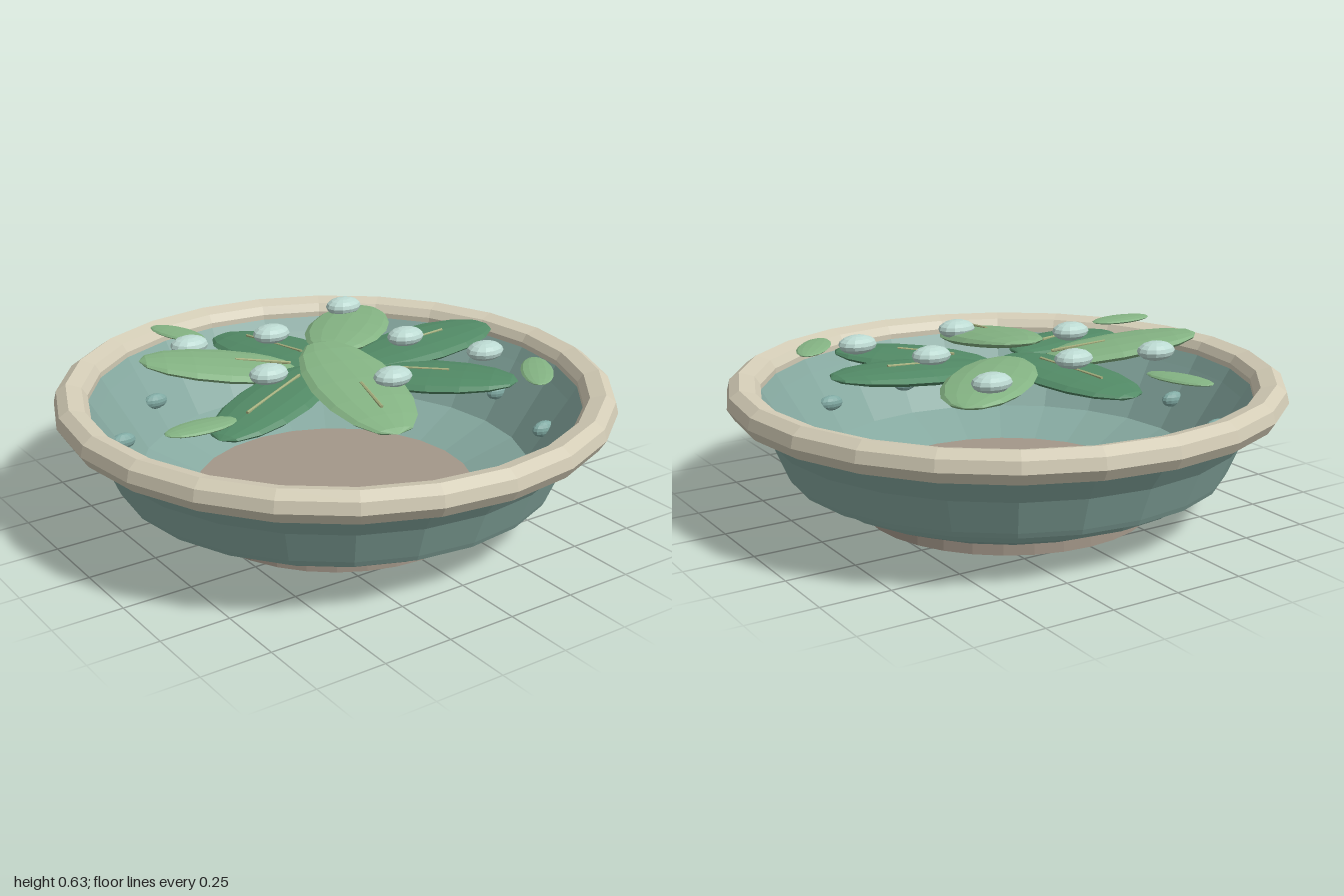
import * as THREE from 'three';

const mat = (name, color, flatShading = true) => {
  const m = new THREE.MeshStandardMaterial({ color, flatShading });
  m.name = name;
  return m;
};

export function createModel() {
  const teal = mat('teal glaze', 0x86a9a0);
  const cream = mat('cream rim', 0xd3ccb6);
  const taupe = mat('taupe clay', 0xa39789);
  const lightGreen = mat('light leaf green', 0x84b383);
  const darkGreen = mat('dark leaf green', 0x528a66);
  const veinGreen = mat('vein khaki', 0xa3ad7c);
  const dew = mat('pale dew', 0xbcdad2);
  const stud = mat('wall bead teal', 0x80aaa3);

  const model = new THREE.Group();
  model.name = 'leafBowl';
  const add = (name, geometry, material, parent = model) => {
    const mesh = new THREE.Mesh(geometry, material);
    mesh.name = name;
    parent.add(mesh);
    return mesh;
  };
  const lathe = (pts, segments = 24) =>
    new THREE.LatheGeometry(pts.map(([r, y]) => new THREE.Vector2(r, y)), segments);

  // Foot, stepped bowl wall with its inner face, and the floor disc
  add('foot', new THREE.CylinderGeometry(0.53, 0.53, 0.05, 32), taupe).position.y = 0.025;
  add('bowl', lathe([
    [0.5, 0.05], [0.56, 0.05], [0.70, 0.11], [0.73, 0.15], [0.79, 0.16], [0.80, 0.18],
    [0.85, 0.30], [0.92, 0.395], [0.92, 0.43], [0.88, 0.44], [0.85, 0.39], [0.71, 0.17], [0.51, 0.09],
  ]), teal);
  const floor = add('floor', new THREE.CircleGeometry(0.52, 48), taupe);
  floor.rotation.x = -Math.PI / 2;
  floor.position.y = 0.091;

  // Rounded rim
  add('rim', lathe([
    [0.88, 0.43], [0.93, 0.39], [0.975, 0.40], [1.0, 0.44], [0.99, 0.48], [0.955, 0.505],
    [0.90, 0.49], [0.88, 0.46], [0.88, 0.43],
  ]), cream);

  // Flattened ellipsoid leaf laid from a base point to a tip point
  const blob = new THREE.SphereGeometry(1, 12, 8);
  const leafShape = blob.clone().rotateX(Math.PI / 2);
  const up = new THREE.Vector3(0, 1, 0);
  function leaf(name, base, tip, halfWidth, thick, material, vein) {
    const a = new THREE.Vector3(...base), b = new THREE.Vector3(...tip);
    const half = a.distanceTo(b) / 2;
    const group = new THREE.Group();
    group.name = name;
    group.position.copy(a).add(b).multiplyScalar(0.5);
    const along = b.clone().sub(a).normalize();
    const side = new THREE.Vector3().crossVectors(up, along).normalize();
    const normal = new THREE.Vector3().crossVectors(along, side);
    group.quaternion.setFromRotationMatrix(new THREE.Matrix4().makeBasis(side, normal, along));
    model.add(group);
    add('blade', leafShape, material, group).scale.set(halfWidth, thick, half);
    if (vein) {
      const [from, to] = vein;
      const rod = add('vein', new THREE.CylinderGeometry(0.006, 0.006, (to - from) * half, 6), veinGreen, group);
      rod.rotation.x = Math.PI / 2;
      rod.position.set(0, thick * 0.95, (from + to) / 2 * half);
    }
  }

  // Large leaves: base, tip, half width, colour, vein span
  [
    [[0.05, 0.53, -0.01], [0.70, 0.57, -0.01], 0.16, darkGreen, [-0.25, 0.35]],
    [[0.04, 0.52, 0.02], [0.45, 0.54, 0.47], 0.15, darkGreen, [-0.5, 0.2]],
    [[-0.05, 0.56, 0.00], [-0.64, 0.51, 0.28], 0.14, darkGreen, [-0.5, 0.5]],
    [[-0.02, 0.55, 0.03], [-0.13, 0.52, -0.59], 0.155, darkGreen, [-0.45, 0.5]],
    [[-0.08, 0.53, -0.04], [-0.64, 0.615, -0.27], 0.155, lightGreen, [-0.75, -0.1]],
    [[0.03, 0.57, -0.08], [0.47, 0.55, -0.49], 0.15, lightGreen, null],
    [[-0.01, 0.615, -0.09], [-0.15, 0.52, 0.58], 0.165, lightGreen, [0.1, 0.6]],
  ].forEach(([base, tip, w, m, vein], i) => leaf(`leaf${i + 1}`, base, tip, w, 0.03, m, vein));

  // Small loose leaves
  [
    [[-0.27, 0.56, -0.47], [-0.35, 0.56, -0.72], 0.055],
    [[-0.56, 0.56, 0.25], [-0.82, 0.56, 0.25], 0.058],
    [[0.45, 0.56, 0.58], [0.62, 0.56, 0.36], 0.058],
  ].forEach(([base, tip, w], i) => leaf(`smallLeaf${i + 1}`, base, tip, w, 0.012, lightGreen, null));

  // Dew drops resting on the leaves
  [[-0.39, -0.36], [-0.08, -0.30], [0.325, -0.42], [0.31, 0], [-0.31, 0.05], [0.025, 0.31], [0.45, 0.285]]
    .forEach(([x, z], i) => {
      const drop = add(`dewDrop${i + 1}`, blob, dew);
      drop.scale.set(0.072, 0.034, 0.056);
      drop.position.set(x, 0.598, z);
    });

  // Ring of beads on the inner wall
  for (let i = 0; i < 12; i++) {
    const t = i * Math.PI / 6;
    const bead = add(`wallBead${i + 1}`, blob, stud);
    bead.scale.set(0.05, 0.03, 0.026);
    bead.position.set(0.765 * Math.cos(t), 0.28, 0.765 * Math.sin(t));
  }

  return model;
}
